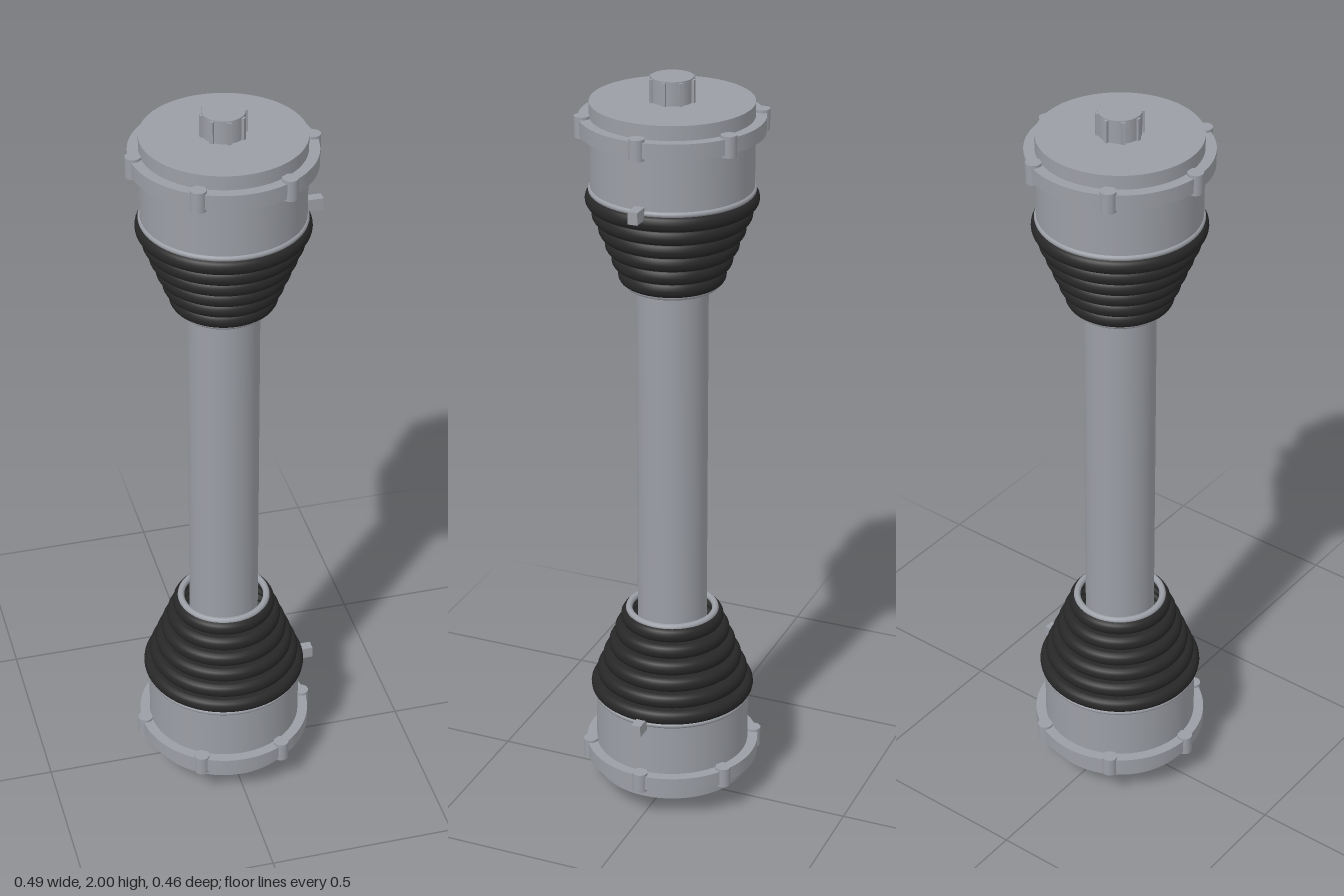
import * as THREE from 'three';

export function createModel() {
  const steel = new THREE.MeshStandardMaterial({ color: 0x9b9ea5 });
  steel.name = 'steel grey';
  const rubber = new THREE.MeshStandardMaterial({ color: 0x272727, side: THREE.DoubleSide });
  rubber.name = 'black rubber';

  const model = new THREE.Group();
  model.name = 'driveShaft';

  const add = (parent, name, geometry, material, x = 0, y = 0, z = 0) => {
    const mesh = new THREE.Mesh(geometry, material);
    mesh.name = name;
    mesh.position.set(x, y, z);
    parent.add(mesh);
    return mesh;
  };
  const cylinder = (r, h, n = 64) => new THREE.CylinderGeometry(r, r, h, n);
  const ring = (r, tube) => new THREE.TorusGeometry(r, tube, 12, 64).rotateX(Math.PI / 2);

  // One joint end; heights are measured from the middle of the shaft
  function jointEnd(name) {
    const end = new THREE.Group();
    end.name = name;

    // Housing and its bolted flange
    add(end, 'housing', cylinder(0.205, 0.225), steel, 0, 0.8265);
    add(end, 'flange', cylinder(0.232, 0.04), steel, 0, 0.882);
    for (let i = 0; i < 6; i++) {
      const a = i * Math.PI / 3;
      add(end, 'bolt', cylinder(0.02, 0.054, 24), steel, 0.223 * Math.cos(a), 0.882, 0.223 * Math.sin(a));
    }

    // Splined stub shaft
    add(end, 'stubShaft', cylinder(0.053, 0.07, 32), steel, 0, 0.965);
    for (let i = 0; i < 8; i++) {
      const a = i * Math.PI / 4;
      const spline = add(end, 'spline', new THREE.BoxGeometry(0.012, 0.064, 0.01), steel,
        0.053 * Math.cos(a), 0.965, 0.053 * Math.sin(a));
      spline.rotation.y = -a;
    }

    // Ribbed boot, narrowing towards the shaft
    const ribs = 6, steps = 8, from = 0.467, to = 0.71;
    const profile = [new THREE.Vector2(0.108, from)];
    for (let i = 0; i < ribs; i++) {
      const outer = 0.137 + i * 0.0162;
      for (let j = 0; j <= steps; j++) {
        const t = j / steps;
        profile.push(new THREE.Vector2(
          outer - 0.017 + 0.017 * Math.sin(t * Math.PI),
          from + (to - from) * (i + 0.5 - 0.5 * Math.cos(t * Math.PI)) / ribs));
      }
    }
    profile.push(new THREE.Vector2(0.195, to + 0.002));
    add(end, 'boot', new THREE.LatheGeometry(profile, 64), rubber);

    // Boot clamps and the clip of the large clamp
    add(end, 'smallClamp', ring(0.115, 0.009), steel, 0, 0.467);
    add(end, 'largeClamp', ring(0.202, 0.008), steel, 0, 0.714);
    add(end, 'clampClip', new THREE.BoxGeometry(0.045, 0.032, 0.026), steel, 0.2275, 0.715);
    return end;
  }

  // Shaft tube
  add(model, 'shaft', cylinder(0.092, 1.5), steel, -0.005, 1);

  // The lower end is the upper one turned over
  const upper = jointEnd('upperJoint');
  const lower = jointEnd('lowerJoint');
  lower.rotation.x = Math.PI;
  for (const end of [upper, lower]) {
    end.position.set(-0.005, 1, 0);
    model.add(end);
  }
  return model;
}
